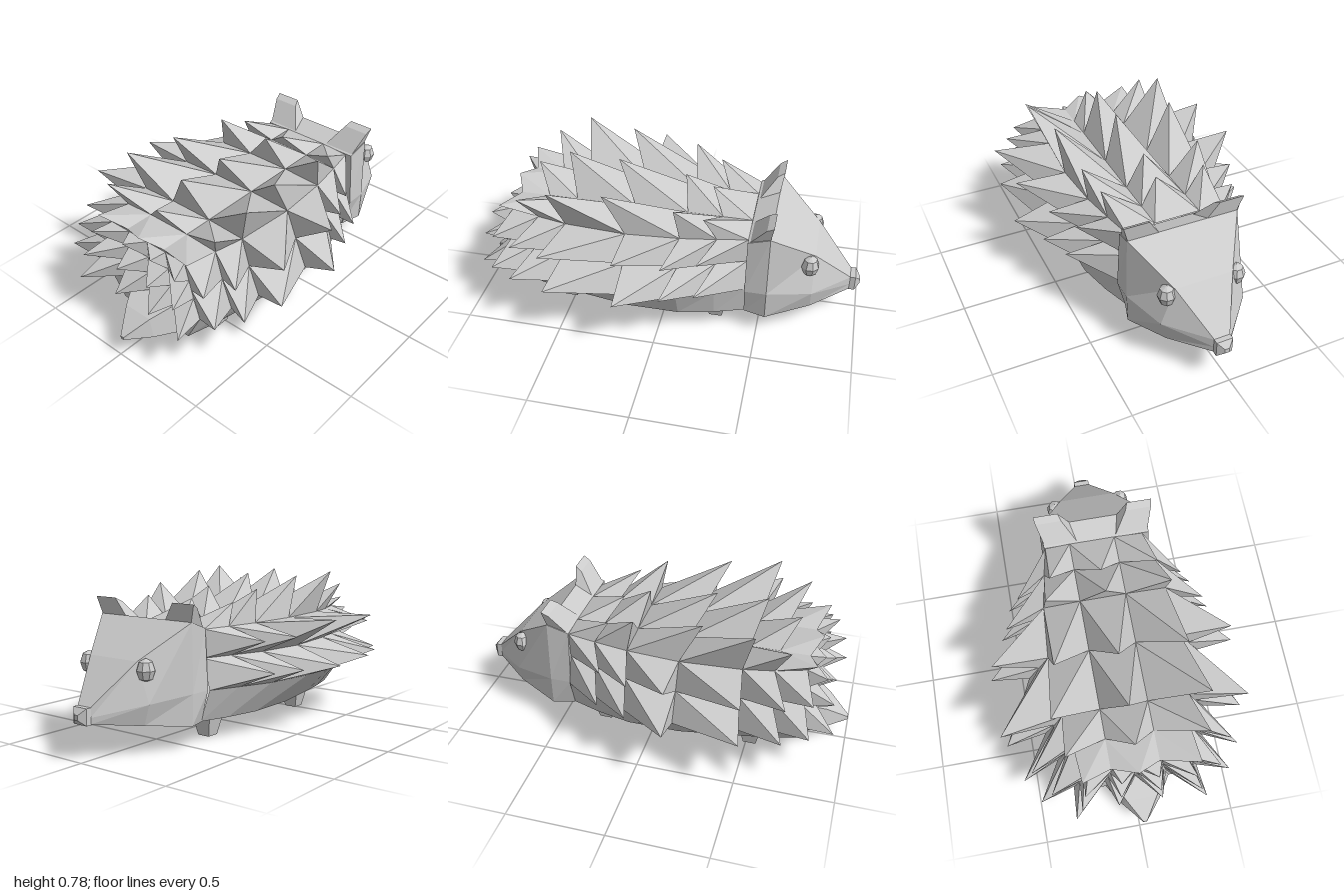
import * as THREE from 'three';

const material = new THREE.MeshStandardMaterial({ color: 0xcccccc, flatShading: true, side: THREE.DoubleSide });
const MID = 0.025; // centre plane of head and belly

function addMesh(parent, name, geometry) {
  const mesh = new THREE.Mesh(geometry, material);
  mesh.name = name;
  parent.add(mesh);
  return mesh;
}

// Collects flat polygons and four-sided spikes
class Facets {
  constructor() { this.positions = []; }
  tri(...points) { for (const p of points) this.positions.push(...p); }
  poly(points) {
    for (let i = 1; i < points.length - 1; i++) this.tri(points[0], points[i], points[i + 1]);
  }
  spike(quad, tip) {
    quad.forEach((p, i) => this.tri(p, quad[(i + 1) % 4], tip));
  }
  geometry() {
    const g = new THREE.BufferGeometry();
    g.setAttribute('position', new THREE.Float32BufferAttribute(this.positions, 3));
    g.computeVertexNormals();
    return g;
  }
}

// Mirrored ring: half = [[z, y, centre], ...] from the bottom to the top
function ring(x, half) {
  const left = half.map(([z, y, mid = MID]) => [x, y, mid + z]);
  const right = half.map(([z, y, mid = MID]) => [x, y, mid - z]).reverse();
  return [...left, ...right];
}

// Rings run in the direction of growing x
function loft(rings) {
  const f = new Facets();
  for (let s = 0; s < rings.length - 1; s++) {
    const a = rings[s], b = rings[s + 1], n = a.length;
    for (let i = 0; i < n; i++) {
      const j = (i + 1) % n;
      f.poly([a[i], b[i], b[j], a[j]]);
    }
  }
  f.poly(rings[0]);
  f.poly([...rings[rings.length - 1]].reverse());
  return f.geometry();
}

const mix = (a, b, t) => a.map((v, i) => v + (b[i] - v) * t);

function buildBody(group) {
  // x, bottom half width, widest half width, shoulder half width
  const stations = [
    [-0.78, 0.22, 0.32, 0.24],
    [-0.63, 0.26, 0.38, 0.29],
    [-0.48, 0.29, 0.42, 0.32],
    [-0.17, 0.34, 0.46, 0.34],
    [0.10, 0.34, 0.42, 0.32],
    [0.28, 0.30, 0.35, 0.29],
    [0.43, 0.25, 0.29, 0.26],
  ];
  const rings = stations.map(([x, bottom, wide, shoulder]) => ring(x, [
    [bottom, 0.11], [wide, 0.27, 0.01], [wide * 0.86, 0.42, 0.01], [shoulder, 0.56, 0.01], [0.12, 0.57, 0],
  ]));

  // Spike tips for each column, from the rear forwards
  const tipX = [-0.84, -0.72, -0.53, -0.17, 0.04, 0.20];
  const topX = [-0.83, -0.71, -0.54, -0.28, 0.07, 0.21];
  const lowZ = [0.48, 0.55, 0.61, 0.645, 0.56, 0.50];
  const midZ = [0.42, 0.50, 0.62, 0.615, 0.52, 0.44];
  const midY = [0.49, 0.50, 0.56, 0.57, 0.50, 0.49];
  const highZ = [0.29, 0.35, 0.385, 0.33, 0.32, 0.28];
  const highY = [0.61, 0.70, 0.78, 0.77, 0.725, 0.67];

  const skin = new Facets(), quills = new Facets();
  for (let c = 0; c < 6; c++) {
    const a = rings[c], b = rings[c + 1];
    for (let i = 0; i < 10; i++) {
      const j = (i + 1) % 10;
      const quad = [a[i], b[i], b[j], a[j]];
      const side = i < 4 ? 1 : -1;
      const row = i <= 4 ? i : 8 - i;
      if (row === 1) quills.spike(quad, [tipX[c], 0.34, side * lowZ[c]]);
      else if (row === 2) quills.spike(quad, [tipX[c], midY[c], side * midZ[c]]);
      else if (row === 3) quills.spike(quad, [topX[c], highY[c], MID + side * highZ[c]]);
      else if (row === 4) quills.spike(quad, [topX[c], highY[c], 0.01]);
      else skin.poly(quad);
    }
  }

  // Rear wall: plain below and above, rows of quills between
  const r = rings[0];
  skin.poly([r[9], r[0], r[1], r[8]]);
  skin.poly([r[6], r[3], r[4], r[5]]);
  const levels = [[r[8], r[1]], [mix(r[7], r[6], -0.3), mix(r[2], r[3], -0.3)],
    [mix(r[7], r[6], 0.35), mix(r[2], r[3], 0.35)], [r[6], r[3]]];
  const rearTips = [[-0.945, 0.27], [-0.93, 0.42], [-0.885, 0.545]];
  rearTips.forEach(([x, y], k) => {
    const [lo, hi] = [levels[k], levels[k + 1]];
    for (let c = 0; c < 4; c++) {
      const quad = [mix(...lo, c / 4), mix(...lo, (c + 1) / 4), mix(...hi, (c + 1) / 4), mix(...hi, c / 4)];
      const z = (quad[0][2] + quad[1][2]) / 2;
      quills.spike(quad, [x + (c % 3 ? 0.03 : 0), y, z * 1.4]);
    }
  });
  addMesh(group, 'body', skin.geometry());
  addMesh(group, 'quills', quills.geometry());

  addMesh(group, 'tail', loft([
    ring(-1.0, [[0.01, 0.115], [0.01, 0.13]]),
    ring(-0.89, [[0.10, 0.11], [0.08, 0.21]]),
    ring(-0.78, [[0.17, 0.11], [0.14, 0.26]]),
  ]));
}

function buildHead(group) {
  addMesh(group, 'head', loft([
    ring(0.43, [[0.255, 0.11], [0.295, 0.27], [0.28, 0.565]]),
    ring(0.54, [[0.29, 0.115], [0.295, 0.27], [0.29, 0.605]]),
    ring(0.76, [[0.19, 0.148], [0.22, 0.25], [0.15, 0.44]]),
    ring(0.95, [[0.04, 0.17], [0.04, 0.20], [0.04, 0.245]]),
  ]));
  addMesh(group, 'nose', loft([
    ring(0.945, [[0.042, 0.167], [0.042, 0.247]]),
    ring(0.975, [[0.042, 0.167], [0.042, 0.247]]),
    ring(1.0, [[0.012, 0.193], [0.012, 0.217]]),
  ]));

  for (const side of [1, -1]) {
    const name = side > 0 ? 'left' : 'right';
    // Ear: leaning slab that splays outwards and narrows upwards
    const shape = new THREE.Shape([[0.435, 0.56], [0.52, 0.67], [0.555, 0.69], [0.54, 0.60]]
      .map(([x, y]) => new THREE.Vector2(x, y)));
    const ear = new THREE.ExtrudeGeometry(shape, { depth: 0.16, bevelEnabled: false });
    const p = ear.attributes.position;
    for (let i = 0; i < p.count; i++) {
      const rise = p.getY(i) - 0.6;
      p.setZ(i, MID + side * (p.getZ(i) > 0.08 ? 0.285 + rise * 0.3 : 0.125 + rise * 0.65));
    }
    // Mirroring turns the triangles around, so restore their order on the right
    if (side < 0) {
      for (let i = 0; i < p.count; i += 3) {
        const a = new THREE.Vector3().fromBufferAttribute(p, i);
        const b = new THREE.Vector3().fromBufferAttribute(p, i + 1);
        p.setXYZ(i, b.x, b.y, b.z);
        p.setXYZ(i + 1, a.x, a.y, a.z);
      }
    }
    ear.computeVertexNormals();
    addMesh(group, name + 'Ear', ear);

    const eye = addMesh(group, name + 'Eye', new THREE.SphereGeometry(1, 8, 4, Math.PI / 8));
    eye.scale.set(0.046, 0.056, 0.046);
    eye.position.set(0.738, 0.40, MID + side * 0.182);
  }
}

export function createModel() {
  const group = new THREE.Group();
  group.name = 'hedgehog';
  buildBody(group);
  buildHead(group);

  // Short square legs, tapering to the foot
  for (const [x, name] of [[0.276, 'front'], [-0.52, 'rear']]) {
    for (const side of [1, -1]) {
      const leg = addMesh(group, name + (side > 0 ? 'LeftLeg' : 'RightLeg'),
        new THREE.CylinderGeometry(0.083, 0.047, 0.12, 4, 1, false, Math.PI / 4));
      leg.position.set(x, 0.06, MID + side * 0.17);
    }
  }
  return group;
}
